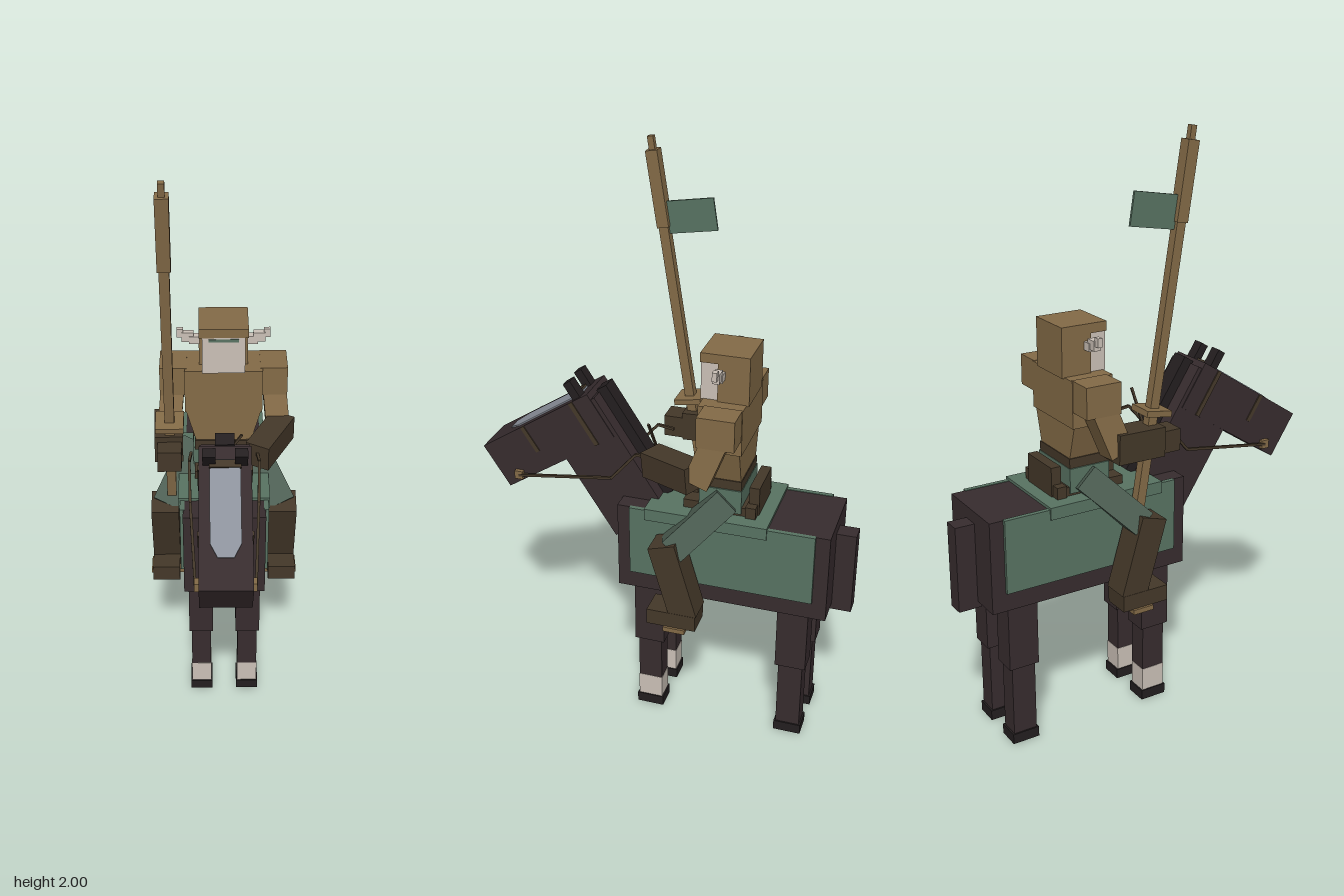
import * as THREE from 'three';

export function createModel() {
  const mat = (name, color) => {
    const m = new THREE.MeshStandardMaterial({ color });
    m.name = name;
    return m;
  };
  const coat = mat('dark coat', 0x372c2e);
  const hoofMat = mat('hoof black', 0x231e1f);
  const bone = mat('pale bone', 0xcbc1b7);
  const tan = mat('tan armour', 0x846b47);
  const leather = mat('dark leather', 0x443829);
  const green = mat('green cloth', 0x587362);
  const trousers = mat('dark green trousers', 0x4d5f53);
  const steel = mat('steel', 0x8c919b);

  const model = new THREE.Group();
  model.name = 'mountedLancer';
  const group = (name) => {
    const g = new THREE.Group();
    g.name = name;
    model.add(g);
    return g;
  };

  // Box given by its extents on each axis
  function box(parent, name, m, [x0, x1], [y0, y1], [z0, z1]) {
    const mesh = new THREE.Mesh(new THREE.BoxGeometry(x1 - x0, y1 - y0, z1 - z0), m);
    mesh.position.set((x0 + x1) / 2, (y0 + y1) / 2, (z0 + z1) / 2);
    mesh.name = name;
    parent.add(mesh);
    return mesh;
  }
  // Box limb running from a to b, kept square to the x axis
  function limb(parent, name, m, a, b, w, d) {
    const A = new THREE.Vector3(...a), B = new THREE.Vector3(...b);
    const mesh = new THREE.Mesh(new THREE.BoxGeometry(w, A.distanceTo(B), d), m);
    const y = B.clone().sub(A).normalize();
    const x = new THREE.Vector3(1, 0, 0).addScaledVector(y, -y.x).normalize();
    const z = new THREE.Vector3().crossVectors(x, y);
    mesh.quaternion.setFromRotationMatrix(new THREE.Matrix4().makeBasis(x, y, z));
    mesh.position.copy(A).add(B).multiplyScalar(0.5);
    mesh.name = name;
    parent.add(mesh);
    return mesh;
  }
  const span = (s, a, b) => (s > 0 ? [a, b] : [-b, -a]);

  // Horse body, tail and legs
  const horse = group('horse');
  box(horse, 'body', coat, [-0.14, 0.14], [0.515, 0.832], [-0.588, 0.14]);
  box(horse, 'tail', coat, [-0.03, 0.03], [0.492, 0.79], [-0.655, -0.575]);
  for (const s of [-1, 1]) {
    for (const [end, z] of [['front', 0.034], ['hind', -0.475]]) {
      const sockTop = end === 'front' ? 0.12 : 0.035;
      box(horse, end + 'UpperLeg', coat, span(s, 0.041, 0.126), [0.285, 0.52], [z - 0.053, z + 0.053]);
      box(horse, end + 'LowerLeg', coat, span(s, 0.049, 0.118), [sockTop, 0.285], [z - 0.042, z + 0.042]);
      if (end === 'front') box(horse, 'sock', bone, span(s, 0.048, 0.119), [0.035, 0.12], [z - 0.043, z + 0.043]);
      box(horse, end + 'Hoof', hoofMat, span(s, 0.044, 0.123), [0, 0.036], [z - 0.048, z + 0.048]);
    }
  }

  // Neck and head share one tilted frame
  const neck = group('neckAndHead');
  neck.position.set(0, 0.67, 0.17);
  neck.rotation.x = 0.575;
  box(neck, 'neck', coat, [-0.079, 0.079], [0, 0.47], [-0.225, 0]);
  box(neck, 'head', coat, [-0.082, 0.082], [0.322, 0.492], [-0.21, 0.257]);
  box(neck, 'mane', hoofMat, [-0.03, 0.03], [0.05, 0.48], [-0.26, -0.22]);
  const plate = new THREE.Shape([
    [-0.025, -0.165], [0.025, -0.165], [0.048, -0.13], [0.048, 0.11],
    [0.025, 0.155], [-0.025, 0.155], [-0.048, 0.11], [-0.048, -0.13],
  ].map(([x, y]) => new THREE.Vector2(x, -y)));
  const facePlate = new THREE.Mesh(new THREE.ExtrudeGeometry(plate, { depth: 0.006, bevelEnabled: false }), steel);
  facePlate.rotation.x = -Math.PI / 2;
  facePlate.position.y = 0.491;
  facePlate.name = 'facePlate';
  neck.add(facePlate);
  box(neck, 'browBand', leather, [-0.05, 0.05], [0.49, 0.503], [-0.16, -0.135]);
  for (const s of [-1, 1]) {
    box(neck, 'ear', hoofMat, span(s, 0.03, 0.07), [0.47, 0.555], [-0.175, -0.145]);
    box(neck, 'cheekStrap', leather, span(s, 0.08, 0.086), [0.322, 0.492], [-0.146, -0.13]);
    box(neck, 'noseStrap', leather, span(s, 0.08, 0.086), [0.39, 0.492], [0.07, 0.085]);
  }

  // Reins and bit
  const tack = group('tack');
  for (const s of [-1, 1]) {
    box(tack, 'bit', tan, span(s, 0.078, 0.097), [0.842, 0.872], [0.505, 0.535]);
    const pts = [[0.094, 0.857, 0.52], [0.113, 0.915, 0.17], [0.116, 1.02, 0.08], [0.11, 1.015, 0.02]];
    for (let i = 0; i < 3; i++) {
      const [a, b] = [pts[i], pts[i + 1]].map(([x, y, z]) => [s * x, y, z]);
      limb(tack, 'rein', leather, a, b, 0.009, 0.009);
    }
    box(tack, 'blanketSide', green, span(s, 0.135, 0.151), [0.58, 0.834], [-0.54, 0.095]);
    box(tack, 'padEdge', green, span(s, 0.14, 0.157), [0.8, 0.842], [-0.38, 0.04]);
  }
  limb(tack, 'reinJoin', leather, [-0.116, 1.02, 0.055], [0.116, 1.02, 0.055], 0.008, 0.008);

  // Blanket top and saddle
  box(tack, 'blanketTop', green, [-0.157, 0.157], [0.825, 0.842], [-0.38, 0.04]);
  box(tack, 'saddleSeat', leather, [-0.1, 0.1], [0.835, 0.872], [-0.31, -0.08]);
  box(tack, 'pommel', leather, [-0.045, 0.045], [0.835, 0.932], [-0.115, -0.08]);
  box(tack, 'cantle', leather, [-0.08, 0.08], [0.84, 0.942], [-0.335, -0.3]);
  box(tack, 'cantleBase', leather, [-0.11, 0.11], [0.84, 0.882], [-0.33, -0.295]);

  // Rider's torso: tapering chest above belt and hips
  const rider = group('rider');
  box(rider, 'hips', green, [-0.105, 0.105], [0.85, 0.935], [-0.28, -0.135]);
  box(rider, 'belt', leather, [-0.1, 0.1], [0.932, 0.968], [-0.278, -0.128]);
  const waistGeo = new THREE.BoxGeometry(0.26, 0.13, 0.14);
  const p = waistGeo.attributes.position;
  for (let i = 0; i < p.count; i++) if (p.getY(i) < 0) p.setX(i, p.getX(i) * 0.72);
  waistGeo.computeVertexNormals();
  const waist = new THREE.Mesh(waistGeo, tan);
  waist.position.set(0, 1.025, -0.205);
  waist.name = 'waist';
  rider.add(waist);
  box(rider, 'chest', tan, [-0.132, 0.132], [1.08, 1.238], [-0.282, -0.135]);

  // Helmet, face and side wings
  box(rider, 'helmetBack', tan, [-0.083, 0.083], [1.235, 1.4], [-0.29, -0.185]);
  box(rider, 'helmetBrow', tan, [-0.083, 0.083], [1.368, 1.4], [-0.185, -0.127]);
  box(rider, 'face', bone, [-0.072, 0.072], [1.236, 1.368], [-0.19, -0.127]);
  box(rider, 'eyeSlit', green, [-0.05, 0.05], [1.354, 1.364], [-0.13, -0.124]);
  for (const s of [-1, 1]) {
    box(rider, 'wingRoot', bone, span(s, 0.08, 0.115), [1.318, 1.345], [-0.21, -0.18]);
    box(rider, 'wingMiddle', bone, span(s, 0.1, 0.14), [1.325, 1.358], [-0.207, -0.183]);
    box(rider, 'wingTip', bone, span(s, 0.135, 0.157), [1.34, 1.37], [-0.203, -0.187]);

    // Legs, boots and stirrups
    limb(rider, 'thigh', trousers, [s * 0.095, 0.895, -0.225], [s * 0.2, 0.735, -0.07], 0.1, 0.09);
    limb(rider, 'shin', leather, [s * 0.205, 0.765, -0.05], [s * 0.205, 0.5, -0.128], 0.096, 0.095);
    box(rider, 'boot', leather, span(s, 0.158, 0.254), [0.456, 0.512], [-0.17, 0]);
    box(rider, 'stirrup', tan, span(s, 0.146, 0.262), [0.44, 0.457], [-0.135, -0.06]);
    box(rider, 'shoulder', tan, span(s, 0.125, 0.217), [1.135, 1.24], [-0.28, -0.155]);
    limb(rider, 'upperArm', tan, [s * 0.172, 1.16, -0.215], [s * 0.188, 1.0, -0.155], 0.08, 0.085);
  }
  limb(rider, 'rightForearm', leather, [-0.19, 1.02, -0.175], [-0.185, 1.015, 0], 0.095, 0.1);
  box(rider, 'rightHand', leather, [-0.222, -0.142], [0.97, 1.045], [-0.01, 0.066]);
  limb(rider, 'leftForearm', leather, [0.205, 1.02, -0.15], [0.11, 1.005, 0.03], 0.085, 0.09);

  // Lance with guard, head and pennant, in its own tilted frame
  const lance = group('lance');
  lance.position.set(-0.181, 0.79, -0.07);
  lance.rotation.x = 0.157;
  box(lance, 'shaft', tan, [-0.016, 0.016], [0, 1.17], [-0.016, 0.016]);
  box(lance, 'lanceHead', tan, [-0.021, 0.021], [0.93, 1.18], [-0.02, 0.02]);
  box(lance, 'lanceTip', tan, [-0.01, 0.01], [1.175, 1.223], [-0.01, 0.01]);
  box(lance, 'guard', tan, [-0.047, 0.047], [0.315, 0.335], [-0.047, 0.047]);
  box(lance, 'pennant', green, [-0.004, 0.004], [0.905, 1.012], [-0.178, -0.01]);

  return model;
}
